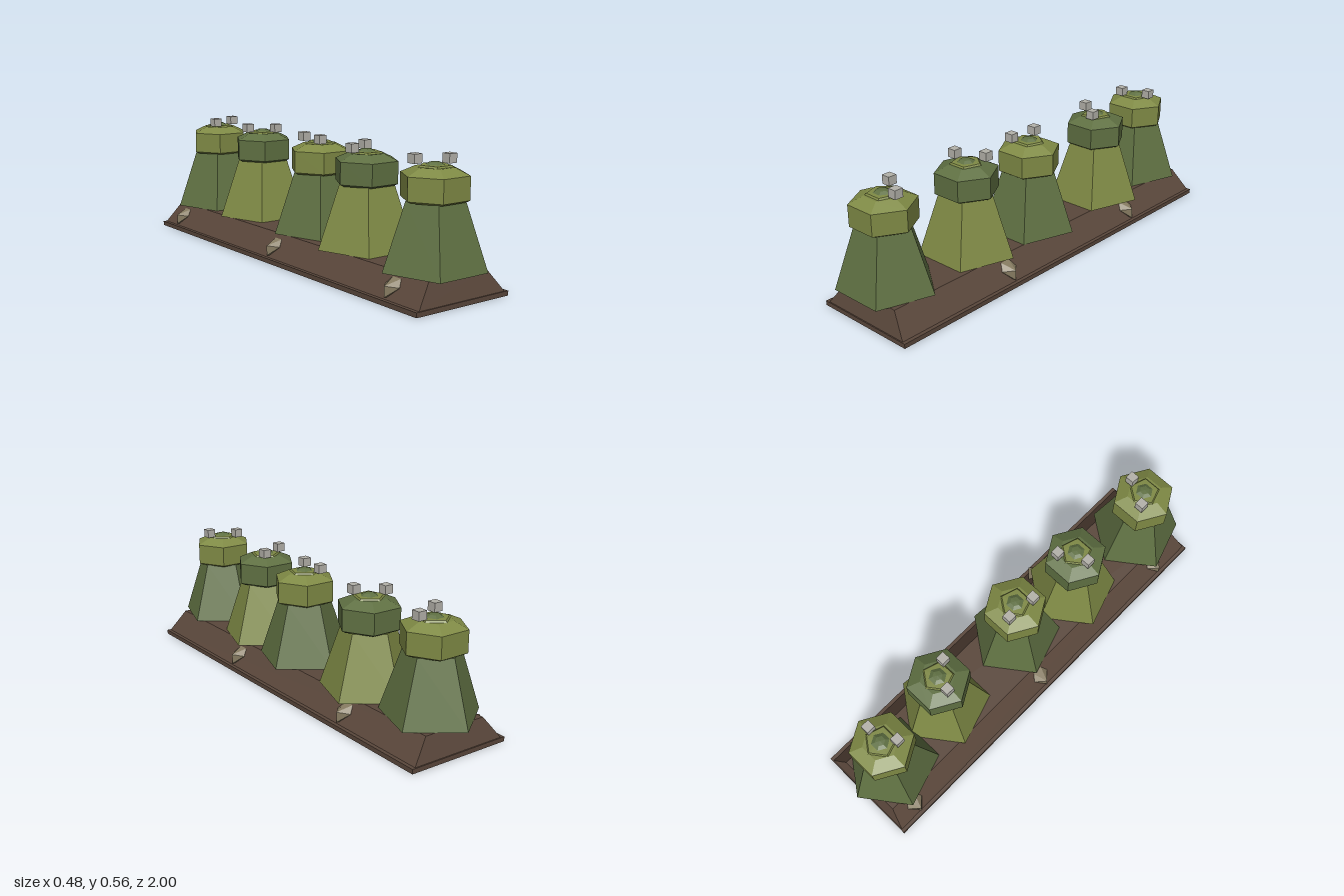
import * as THREE from 'three';
import { ConvexGeometry } from 'three/addons/geometries/ConvexGeometry.js';

const colour = (name, hex) => {
  const m = new THREE.MeshStandardMaterial({ color: hex });
  m.name = name;
  return m;
};

// Split shared corners so every facet is shaded flat
function facet(geometry) {
  const g = geometry.index ? geometry.toNonIndexed() : geometry;
  g.computeVertexNormals();
  return g;
}

function part(name, geometry, material) {
  const mesh = new THREE.Mesh(facet(geometry), material);
  mesh.name = name;
  return mesh;
}

// Many-sided solid turned from [radius, y] points
const turned = (profile, sides, start) => new THREE.LatheGeometry(
  profile.map(([r, y]) => new THREE.Vector2(r, y)), sides, start);

export function createModel() {
  const soil = colour('soil brown', 0x5a473b);
  const green = colour('leaf green', 0x5f7042);
  const olive = colour('olive green', 0x7f8a45);
  const grey = colour('blossom grey', 0xb4b2aa);
  const stone = colour('stone tan', 0x857a60);
  const model = new THREE.Group();
  model.name = 'hedgeRow';

  // Soil bed: thin plate and sloping mound
  const plate = part('basePlate', new THREE.BoxGeometry(0.484, 0.02, 1.94), soil);
  plate.position.set(0, 0.01, 0.01);
  const box = new THREE.BoxGeometry(0.45, 0.097, 1.93);
  const p = box.attributes.position;
  for (let i = 0; i < p.count; i++) {
    if (p.getY(i) > 0) {
      p.setX(i, Math.sign(p.getX(i)) * 0.15);
      p.setZ(i, Math.sign(p.getZ(i)) * 0.935);
    }
  }
  const mound = part('mound', box, soil);
  mound.position.set(0, 0.0685, 0.01);
  model.add(plate, mound);

  // Bushes: centre x, z, then the two blossoms' x, z
  const bushes = [
    [0, -0.785, [-0.05, -0.733], [0.073, -0.78]],
    [0.03, -0.427, [-0.045, -0.442], [0.061, -0.362]],
    [0.027, 0.038, [-0.008, -0.034], [-0.019, 0.1]],
    [0, 0.396, [0.047, 0.327], [-0.073, 0.391]],
    [-0.02, 0.827, [-0.061, 0.757], [0.056, 0.826]],
  ];
  const trunkProfile = [[0, 0.117], [0.213, 0.117], [0.121, 0.39], [0, 0.39]];
  const capProfile = [[0, 0.387], [0.122, 0.387], [0.139, 0.396], [0.139, 0.49], [0.078, 0.518], [0, 0.518]];
  const crownProfile = [[0, 0.505], [0.066, 0.505], [0.074, 0.514], [0.064, 0.525], [0, 0.527]];
  const tipProfile = [[0, 0.52], [0.046, 0.522], [0.022, 0.535], [0, 0.537]];
  bushes.forEach(([x, z, ...blossoms], i) => {
    const [body, top] = i % 2 ? [olive, green] : [green, olive];
    const bush = new THREE.Group();
    bush.name = 'bush' + (i + 1);
    bush.position.set(x, 0, z);
    bush.add(
      part('lowerFoliage', turned(trunkProfile, 5, Math.PI), body),
      part('upperFoliage', turned(capProfile, 6, Math.PI / 6), top),
      part('crown', turned(crownProfile, 5, Math.PI), olive),
      part('crownTip', turned(tipProfile, 6, Math.PI / 6), green),
    );
    model.add(bush);
    for (const [bx, bz] of blossoms) {
      const blossom = part('blossom', new THREE.BoxGeometry(0.04, 0.038, 0.04), grey);
      blossom.position.set(bx, 0.544, bz);
      model.add(blossom);
    }
  });

  // Faceted stones half sunk in the long slopes
  const rocks = [[-1, -0.833], [-1, -0.013], [-1, 0.785], [1, 0.345], [1, -0.475]];
  const outline = [[0.23, 0.073, 0], [0.23, 0.028, 0], [0.19, 0.068, 0.042], [0.165, 0.097, 0.024], [0.15, 0.03, 0.024]];
  for (const [side, z] of rocks) {
    const points = [];
    for (const [x, y, w] of outline) {
      for (const s of w ? [-1, 1] : [1]) points.push(new THREE.Vector3(side * x, y, s * w));
    }
    const rock = part('stone', new ConvexGeometry(points), stone);
    rock.position.z = z;
    model.add(rock);
  }
  return model;
}
